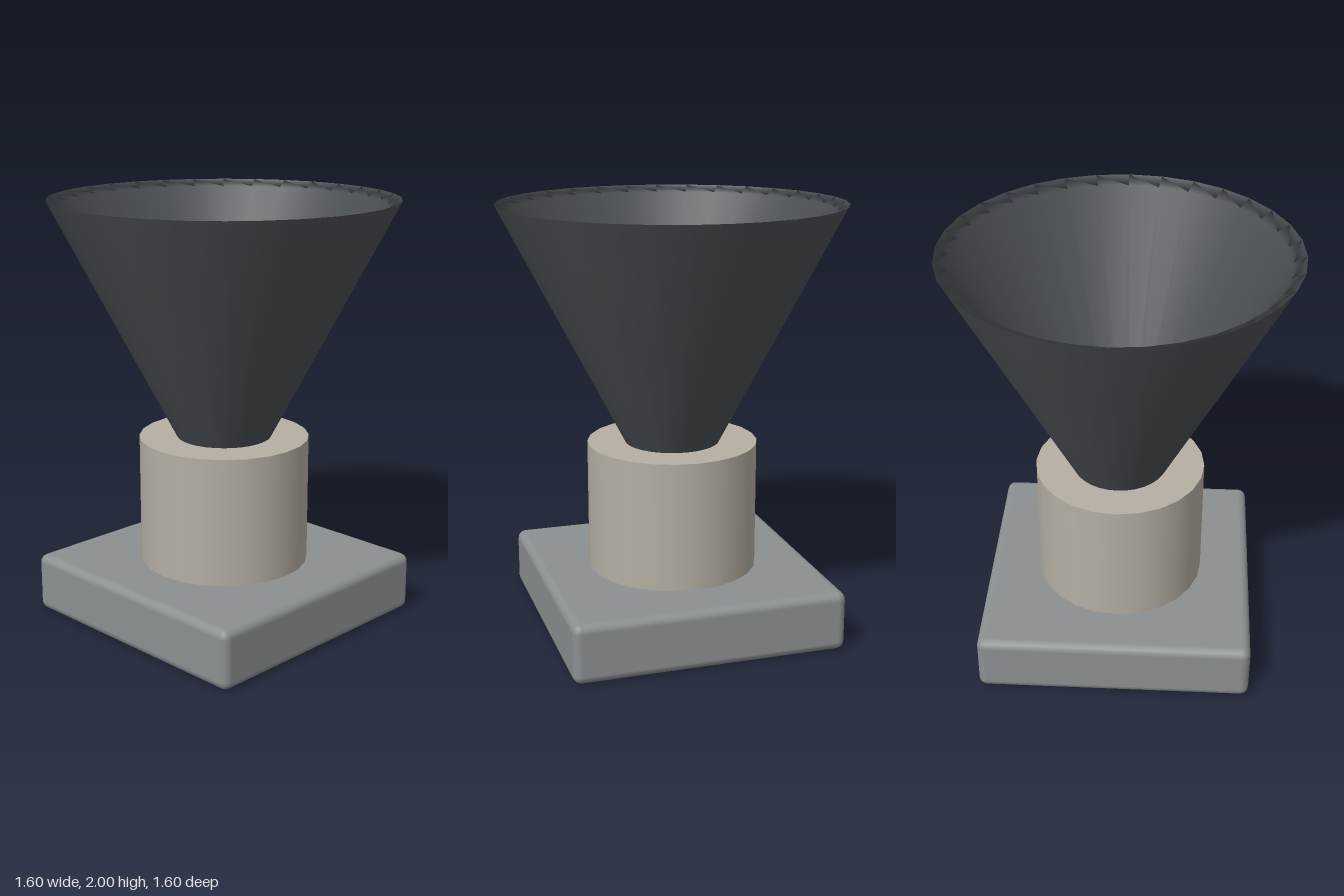
import * as THREE from 'three';
import { RoundedBoxGeometry } from 'three/addons/geometries/RoundedBoxGeometry.js';

const material = (name, color, extra = {}) => {
  const m = new THREE.MeshStandardMaterial({ color, ...extra });
  m.name = name;
  return m;
};

export function createModel() {
  const group = new THREE.Group();
  const grey = material('base grey', 0x8b9090);
  const beige = material('collar beige', 0xb5afa3);
  const dark = material('horn charcoal', 0x4b5055, { side: THREE.DoubleSide });

  const add = (name, geometry, mat, y) => {
    const mesh = new THREE.Mesh(geometry, mat);
    mesh.name = name;
    mesh.position.y = y;
    group.add(mesh);
    return mesh;
  };

  // Square foot with softened edges
  add('base', new RoundedBoxGeometry(1.28, 0.28, 1.28, 2, 0.04), grey, 0.14);

  // Round collar holding the horn
  add('collar', new THREE.CylinderGeometry(0.4, 0.4, 0.61, 24), beige, 0.58);

  // Flared horn: outer wall, bevelled rim, inner wall
  const profile = [[0.22, 0.88], [0.8, 2], [0.74, 1.97], [0.18, 0.9]]
    .map(([r, y]) => new THREE.Vector2(r, y));
  add('horn', new THREE.LatheGeometry(profile, 32), dark, 0);

  // Disc closing the throat of the horn
  const throat = add('throat', new THREE.CircleGeometry(0.185, 32), dark, 0.905);
  throat.rotation.x = -Math.PI / 2;

  return group;
}
